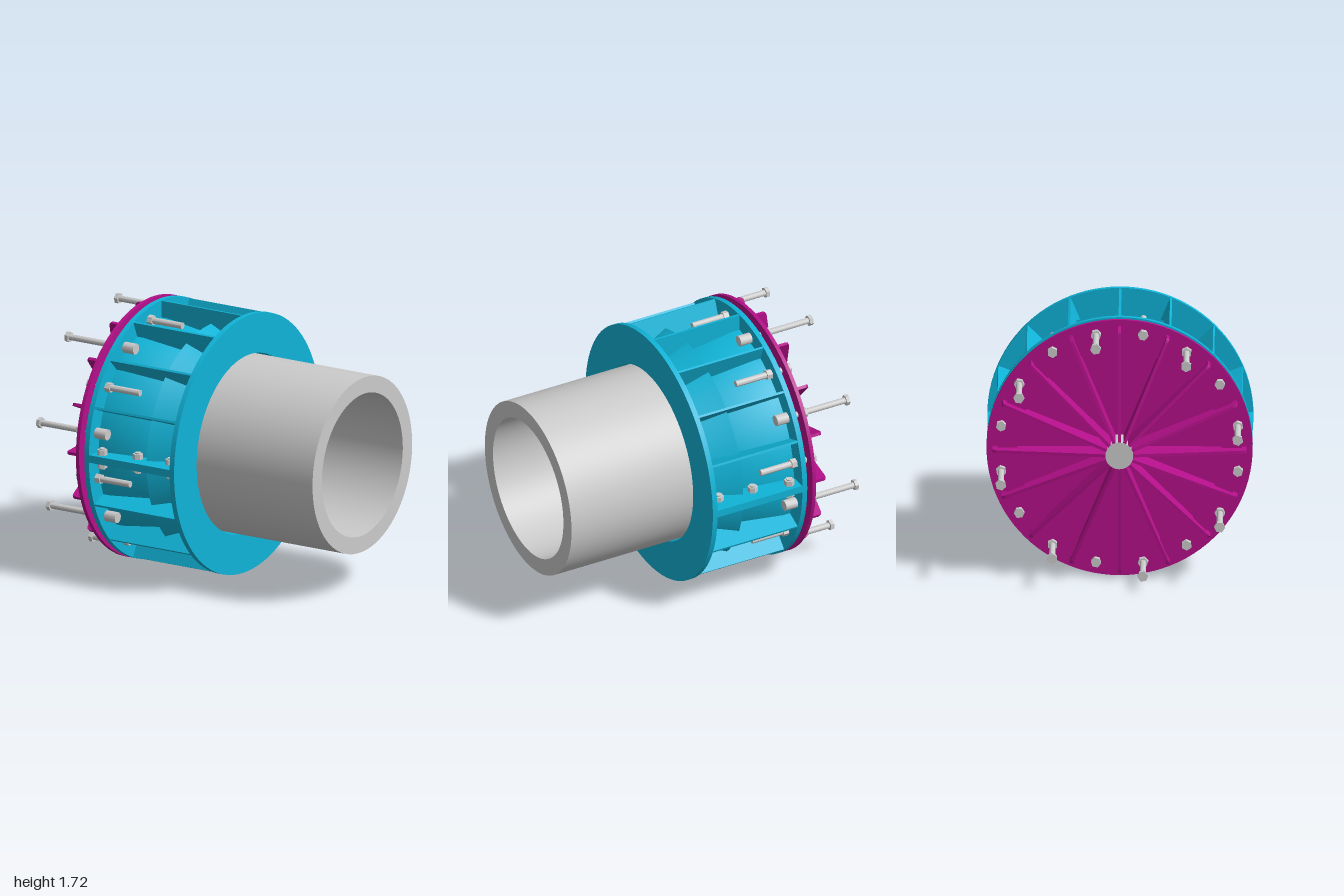
import * as THREE from 'three';
import { toCreasedNormals } from 'three/addons/utils/BufferGeometryUtils.js';

const blue = new THREE.MeshStandardMaterial({ color: 0x10b4d8 });
const magenta = new THREE.MeshStandardMaterial({ color: 0xb5108a });
const grey = new THREE.MeshStandardMaterial({ color: 0xcccccc });
const STEP = Math.PI / 8; // sixteen divisions around the axis
const BOLT_R = 0.78;

export function createModel() {
  const model = new THREE.Group();
  model.name = 'pipeCoupling';
  const body = new THREE.Group();
  body.name = 'body';
  body.position.y = 0.86;
  model.add(body);

  const add = (parent, name, geo, mat) => {
    const mesh = new THREE.Mesh(geo, mat);
    mesh.name = name;
    parent.add(mesh);
    return mesh;
  };
  // Solid turned about the x axis; profile is [x, radius], outer side first
  const turned = (profile) => {
    const pts = [...profile, profile[0]].map(([x, r]) => new THREE.Vector2(r, x));
    return toCreasedNormals(new THREE.LatheGeometry(pts, 96).rotateZ(-Math.PI / 2), 0.5);
  };
  const ring = (x0, x1, outer, inner) => turned([[x0, outer], [x1, outer], [x1, inner], [x0, inner]]);
  // Rod or hexagon lying along x
  const rod = (x0, x1, r, sides = 20) => {
    const g = new THREE.CylinderGeometry(r, r, x1 - x0, sides).rotateZ(-Math.PI / 2).translate((x0 + x1) / 2, 0, 0);
    return toCreasedNormals(g, 0.6);
  };
  // Group turned to an angle, measured from the top towards the front
  const spoke = (name, angle) => {
    const g = new THREE.Group();
    g.name = name;
    g.rotation.x = angle;
    body.add(g);
    return g;
  };

  // Pipe
  add(body, 'pipe', ring(-0.5, 1, 0.585, 0.475), grey);

  // Housing: end flanges and the two tapered sleeve sections
  add(body, 'innerFlange', ring(-0.585, -0.55, 0.86, 0.595), blue);
  add(body, 'outerFlange', ring(0.075, 0.11, 0.86, 0.595), blue);
  add(body, 'sleeve', turned([
    [-0.55, 0.745], [-0.5, 0.745], [-0.2, 0.7], [-0.17, 0.68], [-0.165, 0.68],
    [-0.165, 0.765], [0.05, 0.66], [0.075, 0.65], [0.075, 0.597], [-0.55, 0.597],
  ]), blue);

  // Pressure plate with its plug and central hub
  add(body, 'pressurePlate', rod(-0.65, -0.625, 0.86, 96), magenta);
  add(body, 'plug', rod(-0.625, -0.5, 0.585, 96), magenta);
  add(body, 'hub', rod(-0.84, -0.65, 0.09, 40), grey);

  // Stiffening fin outline, notched near the bolt circle
  const fin = new THREE.Shape([
    [-0.65, 0.05], [-0.65, 0.66], [-0.68, 0.66], [-0.69, 0.67], [-0.69, 0.78], [-0.68, 0.79], [-0.65, 0.79],
    [-0.65, 0.82], [-0.73, 0.82], [-0.745, 0.812], [-0.75, 0.795], [-0.838, 0.1], [-0.838, 0.05],
  ].map(([x, r]) => new THREE.Vector2(x, r)));
  const finGeo = new THREE.ExtrudeGeometry(fin, { depth: 0.02, bevelEnabled: false }).translate(0, 0, -0.01);

  const hexHead = rod(-1, -0.975, 0.036, 6);
  const longRod = rod(-0.975, -0.47, 0.02);
  const boss = rod(-0.55, -0.465, 0.036);
  const shortRod = rod(-0.66, -0.29, 0.021);
  const plateNut = rod(-0.69, -0.65, 0.034, 6);
  const flangeNut = rod(-0.55, -0.512, 0.034, 6);
  const sideNut = toCreasedNormals(new THREE.CylinderGeometry(0.034, 0.034, 0.036, 6), 0.6);
  const sideStud = new THREE.CylinderGeometry(0.02, 0.02, 0.14, 16);

  for (let i = 0; i < 16; i++) {
    const s = spoke('spoke', i * STEP);
    add(s, 'plateFin', finGeo, magenta);

    // Ribs; the two level ones are thick bolted clamp joints
    const joint = i % 8 === 4;
    const rib = new THREE.BoxGeometry(0.63, 0.23, joint ? 0.05 : 0.015).translate(-0.2375, 0.742, 0);
    add(s, joint ? 'clampJoint' : 'rib', rib, blue);
    if (joint) {
      [[-0.485, 0.8], [-0.24, 0.755], [0.005, 0.745]].forEach(([x, r]) => {
        add(s, 'jointStud', sideStud, grey).position.set(x, r, 0);
        for (const side of [-1, 1]) add(s, 'jointNut', sideNut, grey).position.set(x, r, side * 0.043);
        s.children.slice(-3).forEach((m) => { m.rotation.x = Math.PI / 2; });
      });
    }

    // Long jacking bolts alternate with short clamping studs
    const b = spoke(i % 2 ? 'longBolt' : 'shortBolt', (i + 0.5) * STEP);
    const parts = i % 2
      ? [['boltHead', hexHead], ['boltShank', longRod], ['boltSeat', boss], ['plateNut', plateNut]]
      : [['stud', shortRod], ['plateNut', plateNut], ['flangeNut', flangeNut]];
    for (const [name, geo] of parts) add(b, name, geo, grey).position.y = BOLT_R;
  }
  return model;
}
